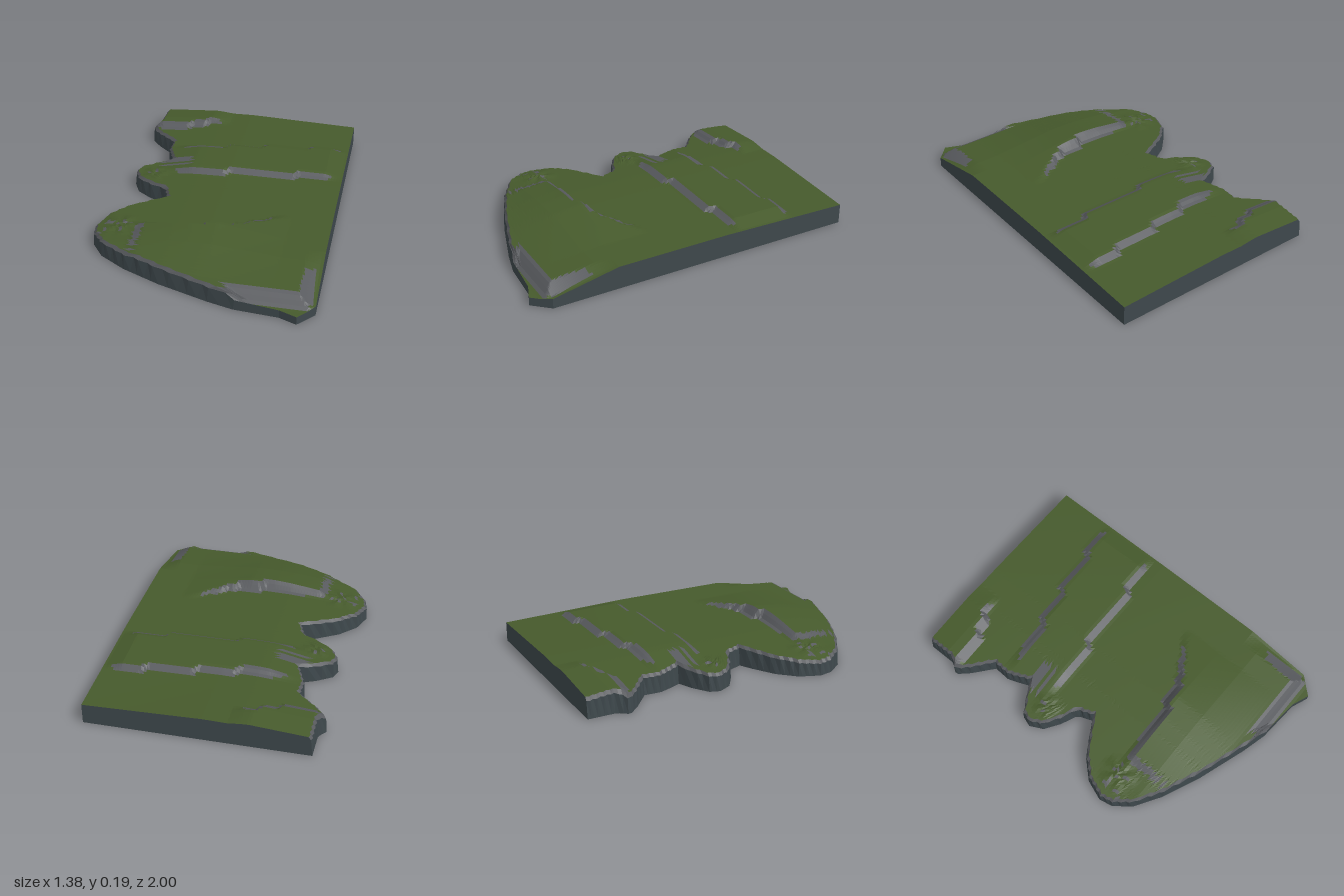
import * as THREE from 'three';

const clamp = (v) => Math.min(1, Math.max(0, v));
const ramp = (a, b, v) => clamp((v - a) / (b - a));
const mix = (a, b, t) => a + (b - a) * t;

// Piecewise linear lookup through [key, value] points
function lookup(points, k) {
  if (k <= points[0][0]) return points[0][1];
  for (let i = 1; i < points.length; i++) {
    const [k0, v0] = points[i - 1], [k1, v1] = points[i];
    if (k <= k1) return mix(v0, v1, (k - k0) / (k1 - k0));
  }
  return points[points.length - 1][1];
}

// Coastline: z -> x of the ragged edge
const COAST = [[-1, -0.6], [-0.9, -0.6], [-0.83, -0.6], [-0.77, -0.645], [-0.7, -0.58], [-0.6, -0.46],
  [-0.5, -0.465], [-0.43, -0.44], [-0.36, -0.41], [-0.32, -0.5], [-0.26, -0.59], [-0.2, -0.61],
  [-0.12, -0.57], [-0.06, -0.48], [-0.02, -0.39], [0, -0.37], [0.08, -0.34], [0.12, -0.42], [0.2, -0.55],
  [0.3, -0.645], [0.42, -0.69], [0.5, -0.675], [0.6, -0.6], [0.7, -0.44], [0.8, -0.21], [0.9, 0.09],
  [0.955, 0.3], [0.96, 0.5], [1, 0.6]];

// Stepped scarp lines: x -> z
const SCARP_A = [[-0.04, 0.415], [-0.01, 0.375], [0.12, 0.375], [0.15, 0.34], [0.19, 0.34], [0.22, 0.3],
  [0.3, 0.27], [0.34, 0.23], [0.4, 0.2]];
const SCARP_B = [[-0.04, -0.2], [0, -0.24], [0.39, -0.24], [0.42, -0.285]];
const SCARP_C = [[-0.1, -0.51], [-0.06, -0.555], [0.14, -0.555], [0.17, -0.6], [0.43, -0.6], [0.46, -0.64]];
const SCARP_D = [[-0.4, -0.77], [-0.37, -0.81], [-0.29, -0.81], [-0.26, -0.86]];
const LEVEL = [[-0.69, 0.085], [-0.6, 0.105], [-0.4, 0.12], [-0.2, 0.135], [0, 0.14], [0.69, 0.14]];
const HALF = 0.023;

// 0 north of the scarp, 1 south of it
const southOf = (line, x, z) => {
  const c = lookup(line, x);
  return ramp(c - HALF, c + HALF, z);
};

// Small cracked knoll
function knoll(x, z, cx, cz, r) {
  const dx = x - cx, dz = z - cz, d = Math.hypot(dx, dz) / r;
  return d < 1 ? (1 - d) * (0.012 + 0.008 * Math.cos(5 * Math.atan2(dz, dx))) : 0;
}

function heightAt(x, z) {
  let h = lookup(LEVEL, x) - 0.02 * ramp(-0.2, -1, z) * ramp(0, 0.69, x);
  h -= 0.03 * ramp(0.6, 0.92, z);
  // southern ridge with a short return at its western end
  h += 0.055 * southOf(SCARP_A, x, z) * (1 - ramp(0.42, 0.85, z))
    * mix(ramp(-0.55, -0.1, x), ramp(-0.43, -0.38, x), 0.4) * (1 - ramp(0.05, 0.45, x));
  // middle plateau
  h += 0.028 * southOf(SCARP_C, x, z) * (1 - southOf(SCARP_B, x, z))
    * ramp(-0.45, -0.25, x) * (1 - ramp(0.58, 0.68, x));
  // northern rise
  h += 0.032 * (1 - southOf(SCARP_D, x, z)) * (1 - 0.5 * ramp(-0.86, -1, z))
    * ramp(-0.66, -0.58, x) * (1 - ramp(-0.25, -0.13, x));
  h += knoll(x, z, -0.52, 0.43, 0.12) + knoll(x, z, -0.47, -0.17, 0.09);
  // low shelf round the south-east corner
  const shelf = mix(0.14, 0.05, ramp(0.5, 0.95, z));
  const inland = Math.min(ramp(0.67, 0.59, x), Math.max(ramp(0.93, 0.87, z), ramp(0.3, 0.2, x)));
  return z > 0.5 ? mix(shelf, h, inland) : h;
}

function quads() {
  const pos = [];
  return {
    add(a, b, c, d) {
      for (const p of [a, b, c, a, c, d]) pos.push(...p);
    },
    mesh(name, color) {
      const g = new THREE.BufferGeometry();
      g.setAttribute('position', new THREE.Float32BufferAttribute(pos, 3));
      g.computeVertexNormals();
      const m = new THREE.Mesh(g, new THREE.MeshStandardMaterial({ color, flatShading: true }));
      m.name = name;
      return m;
    },
  };
}

export function createModel() {
  const ROWS = 100, COLS = 72;
  const top = [], left = [], right = [];
  for (let i = 0; i <= ROWS; i++) {
    const z = -1 + (2 * i) / ROWS;
    const xl = lookup(COAST, z);
    const xr = z > 0.9 ? mix(0.69, 0.6, (z - 0.9) / 0.1) : 0.69;
    left.push([xl, 0, z]);
    right.push([xr, 0, z]);
    // ragged lip, set in square to the coast
    const slope = (lookup(COAST, z + 0.01) - lookup(COAST, z - 0.01)) / 0.02;
    const lip = z > 0.95 ? 0 : Math.min(3, Math.hypot(1, slope));
    const x0 = xl + (i % 2 ? 0.003 : 0.01) * lip;
    const x1 = x0 + 0.014 * lip;
    const row = [[x0, heightAt(x0, z) - (lip ? 0.016 : 0), z]];
    for (let j = 0; j < COLS; j++) {
      const x = mix(x1, xr, j / (COLS - 1));
      row.push([x, heightAt(x, z), z]);
    }
    top.push(row);
  }

  const grass = quads(), rock = quads(), base = quads();
  for (let i = 0; i < ROWS; i++) {
    const a = top[i], b = top[i + 1];
    for (let j = 0; j < COLS; j++) {
      const dz = Math.abs(a[j][1] + a[j + 1][1] - b[j][1] - b[j + 1][1]) / 2 / 0.02;
      const dx = Math.abs(a[j][1] + b[j][1] - a[j + 1][1] - b[j + 1][1]) / 2
        / Math.max(0.004, a[j + 1][0] - a[j][0]);
      const onLip = j === 0 && b[0][2] < 0.95;
      const steep = onLip || Math.hypot(dz, dx) > 0.36;
      (steep ? rock : grass).add(a[j], b[j], b[j + 1], a[j + 1]);
    }
    // coast wall, straight east wall and underside
    base.add(a[0], left[i], left[i + 1], b[0]);
    base.add(b[COLS], right[i + 1], right[i], a[COLS]);
    base.add(left[i], right[i], right[i + 1], left[i + 1]);
  }
  // straight north wall
  const back = top[0];
  const foot = (j) => (j === 0 ? left[0] : [back[j][0], 0, -1]);
  for (let j = 0; j < COLS; j++) base.add(back[j + 1], foot(j + 1), foot(j), back[j]);

  const group = new THREE.Group();
  group.name = 'coastalTerrain';
  group.add(
    grass.mesh('grassland', 0x465a2c),
    rock.mesh('rockScarps', 0x585a5e),
    base.mesh('cliffBase', 0x3e484c),
  );
  return group;
}
